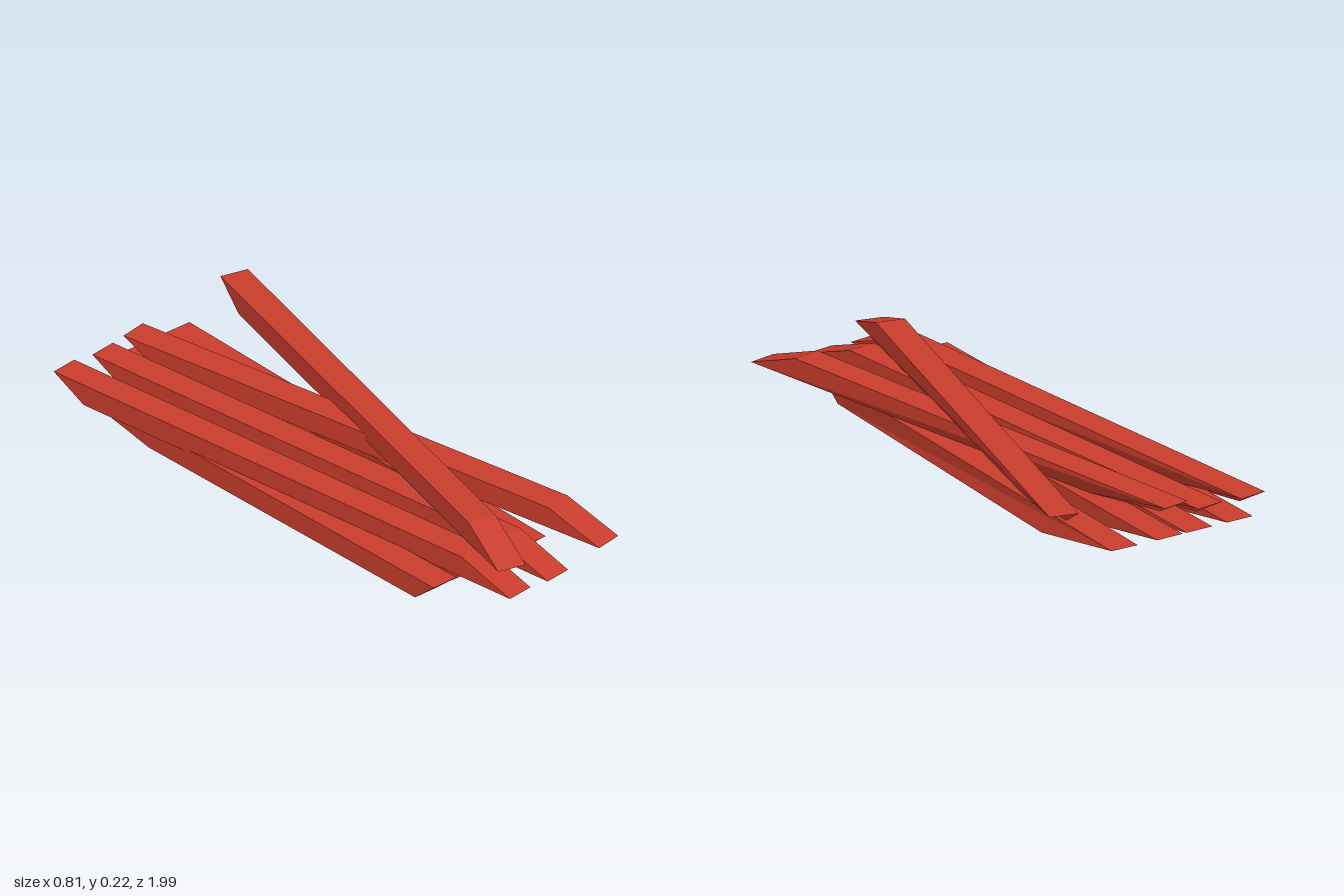
import * as THREE from 'three';

const material = new THREE.MeshStandardMaterial({ color: 0xc83c2c, flatShading: true });
const WIDTH = 0.1;
const HEIGHT = 0.075;

// A beam from front to back ([x, z] at the centre of its longest edges).
// cuts gives how far each end corner is pulled in along the beam, and
// how far it is moved sideways: [along, sideways].
function makePlank(name, y, front, back, cuts) {
  const a = new THREE.Vector2(...front);
  const b = new THREE.Vector2(...back);
  const dir = b.clone().sub(a).normalize();
  const side = new THREE.Vector2(-dir.y, dir.x); // towards +x
  const geometry = new THREE.BoxGeometry(1, 1, 1);
  const p = geometry.attributes.position;
  for (let i = 0; i < p.count; i++) {
    const isFront = p.getZ(i) > 0;
    const isTop = p.getY(i) > 0;
    const s = Math.sign(p.getX(i));
    const key = (isFront ? 'front' : 'back') + (isTop ? 'Top' : s > 0 ? 'LowLeft' : 'LowRight');
    const [along, shift] = cuts[key] || [0, 0];
    const c = (isFront ? a : b).clone()
      .addScaledVector(dir, isFront ? along : -along)
      .addScaledVector(side, s * WIDTH / 2 + shift);
    p.setXYZ(i, c.x, y + (isTop ? HEIGHT : 0), c.y);
  }
  geometry.computeVertexNormals();
  const mesh = new THREE.Mesh(geometry, material);
  mesh.name = name;
  return mesh;
}

// Lower beams: both ends undercut
const lowerCuts = {
  frontLowLeft: [0.09, 0], frontLowRight: [0.09, 0],
  backLowLeft: [0.41, 0], backLowRight: [0.41, 0],
};
// The skewed lower beam spreads a little at its base
const skewedCuts = {
  frontLowLeft: [0.09, -0.007], frontLowRight: [0.09, -0.007],
  backLowLeft: [0.41, 0.012], backLowRight: [0.41, 0.012],
};
// Upper beams: front slopes up, back is undercut at a slant
const upperCuts = {
  frontTop: [0.21, 0],
  backLowLeft: [0.4, -0.04], backLowRight: [0.13, 0],
};

export function createModel() {
  const group = new THREE.Group();
  group.name = 'plankPile';

  // Bottom layer
  [-0.2975, -0.14, -0.025].forEach((x, i) =>
    group.add(makePlank('lowerPlank' + (i + 1), 0, [x, 0.785], [x, -1], lowerCuts)));
  group.add(makePlank('lowerPlank4', 0, [0.093, 0.785], [0.15, -0.997], skewedCuts));

  // Middle layer, lying at an angle
  group.add(makePlank('middlePlank1', 0.065, [-0.15, 0.985], [-0.36, -0.985], upperCuts));
  group.add(makePlank('middlePlank2', 0.065, [0.015, 0.985], [-0.195, -0.98], upperCuts));
  group.add(makePlank('middlePlank3', 0.092, [0.25, 0.972], [-0.07, -0.97], upperCuts));

  // Top plank crossing the pile
  group.add(makePlank('topPlank', 0.145, [-0.155, 0.95], [0.355, -0.95], upperCuts));
  return group;
}
